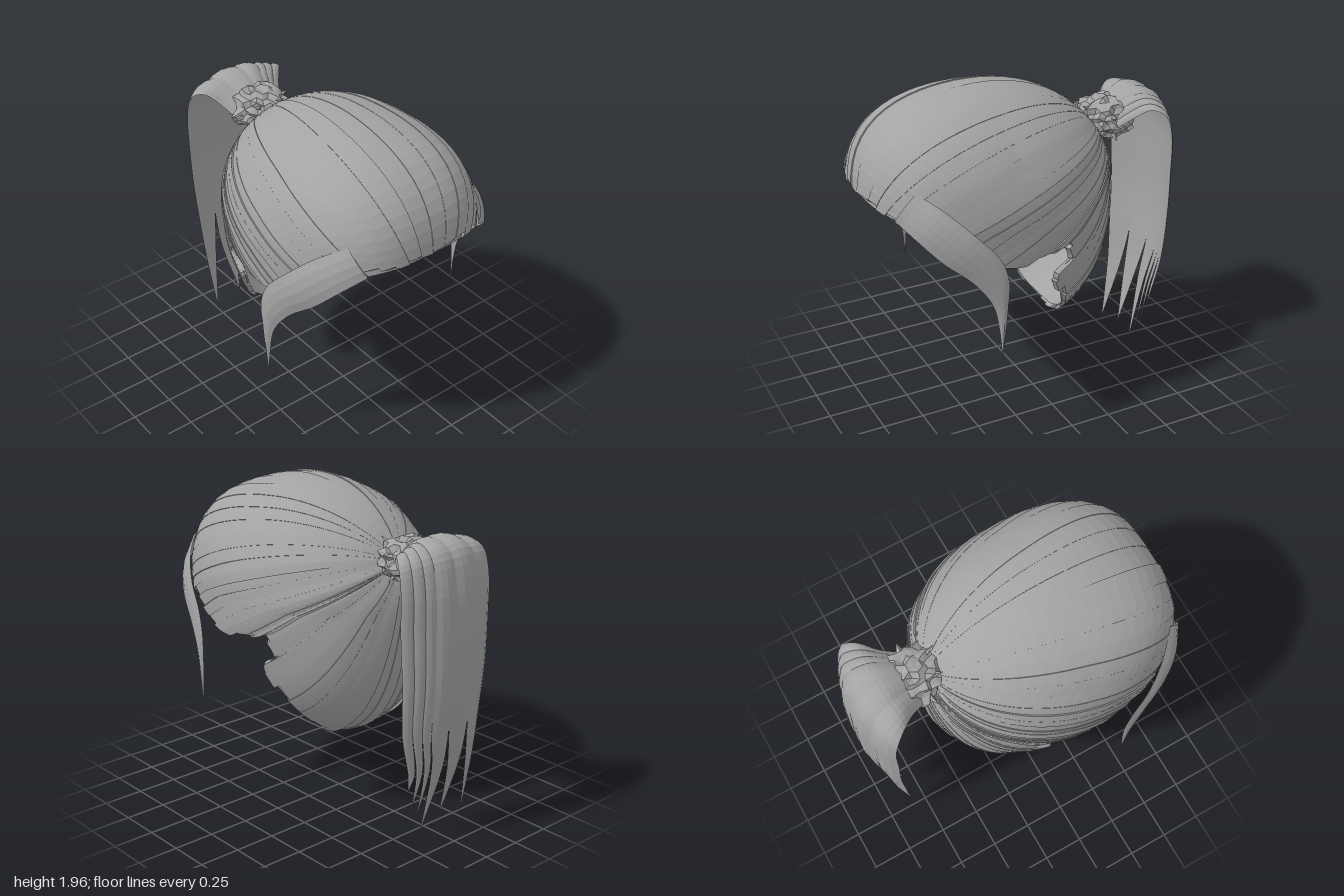
import * as THREE from 'three';

const hair = new THREE.MeshStandardMaterial({ color: 0xa3a3a3, flatShading: true, side: THREE.DoubleSide });
hair.name = 'hair grey';

const V = (p) => new THREE.Vector3(...p);
let seed = 7;
const rnd = () => (seed = (seed * 16807) % 2147483647) / 2147483647;

// grid of points (rows of equal length) to an indexed surface
function grid(rows) {
  const cols = rows[0].length, index = [];
  for (let i = 0; i < rows.length - 1; i++)
    for (let j = 0; j < cols - 1; j++) {
      const a = i * cols + j, b = a + cols;
      index.push(a, b, a + 1, b, b + 1, a + 1);
    }
  const g = new THREE.BufferGeometry().setFromPoints(rows.flat());
  g.setIndex(index);
  g.computeVertexNormals();
  return g;
}

function add(parent, name, geometry) {
  const mesh = new THREE.Mesh(geometry, hair);
  mesh.name = name;
  parent.add(mesh);
  return mesh;
}

// head: an egg with separate half axes up, down, front and back, squarer in front and low at the back
const C = V([0, 1.3, 0.25]);
const axes = (d) => V([0.655, d.y > 0 ? 0.66 : 0.95, d.z > 0 ? 0.75 : 0.84]);
const toDir = (p) => { const d = V(p).sub(C); return d.divide(axes(d)).normalize(); };
function onHead(dir, scale) {
  const n = 2 + 0.7 * Math.max(0, dir.z) + 0.7 * Math.max(0, -dir.y) * Math.max(0, -dir.z);
  const len = (Math.abs(dir.x) ** n + Math.abs(dir.y) ** n + Math.abs(dir.z) ** n) ** (1 / n);
  return dir.clone().multiply(axes(dir)).multiplyScalar(scale / len).add(C);
}
const root = toDir([0, 1.58, -0.52]);

function slerp(a, b, t) {
  const w = a.angleTo(b), s = Math.sin(w);
  return a.clone().multiplyScalar(Math.sin((1 - t) * w) / s).addScaledVector(b, Math.sin(t * w) / s).normalize();
}

// combed strands fanning out from the knot to a hairline; relief 0 gives a smooth lining
function fan(hairline, strands, steps, scale, relief) {
  const curve = new THREE.CatmullRomCurve3(hairline.map(V), false, 'centripetal');
  const columns = [], per = 4;
  for (let k = 0; k < strands; k++) {
    const jag = rnd() - 0.5, lift = (rnd() - 0.5) * 0.014, tilt = (rnd() - 0.5) * 0.016;
    for (let j = 0; j <= per; j++) {
      const end = toDir(curve.getPointAt((k + j / per) / strands).toArray());
      const side = Math.abs(end.x), reach = 1 + relief * jag * (0.012 + 0.05 * side);
      const col = [];
      for (let i = 0; i <= steps; i++) {
        const t = i / steps, fade = relief * Math.min(1, t * 2.5);
        col.push(onHead(slerp(root, end, t * reach), scale + fade * (lift + tilt * (j / per - 0.5))));
      }
      col.push(onHead(slerp(root, end, reach * (1 + 0.008 * relief)), scale - relief * 0.05 * side)); // turned-in lip
      columns.push(col);
    }
  }
  return grid(columns[0].map((_, i) => columns.map((c) => c[i])));
}
const mirrored = (half) => [...half.slice(1).reverse().map(([x, y, z]) => [-x, y, z]), ...half];

// lens-shaped lock of hair between two edge paths
function lock(edgeA, edgeB, bulge, steps = 26) {
  const a = new THREE.CatmullRomCurve3(edgeA.map(V)), b = new THREE.CatmullRomCurve3(edgeB.map(V));
  const rows = [], n = 4;
  for (let i = 0; i <= steps; i++) {
    const t = i / steps, pa = a.getPoint(t), pb = b.getPoint(t);
    const across = pb.clone().sub(pa), width = across.length();
    const out = a.getTangent(t).add(b.getTangent(t)).cross(across).normalize();
    const row = [];
    for (let j = 0; j <= 2 * n; j++) {
      const s = j <= n ? j / n : 2 - j / n;
      const h = (j <= n ? 1 : 0.15) * bulge * width * 4 * s * (1 - s);
      row.push(pa.clone().addScaledVector(across, s).addScaledVector(out, h));
    }
    rows.push(row);
  }
  return grid(rows);
}

export function createModel() {
  const model = new THREE.Group();
  model.name = 'ponytailHair';

  // crown and fringe over a smooth lining
  const sides = [[0.56, 1.24, 0.62], [0.6, 1.15, 0.42], [0.63, 1.10, 0.2], [0.64, 1.13, 0], [0.62, 1.16, -0.1]];
  const fringe = mirrored([[0, 1.44, 0.98], [0.2, 1.44, 0.97], [0.38, 1.41, 0.9], [0.5, 1.33, 0.78], ...sides]);
  const brow = mirrored([[0, 1.41, 0.98], [0.2, 1.405, 0.96], [0.4, 1.38, 0.88], [0.5, 1.32, 0.78], ...sides]);
  add(model, 'crown', fan(fringe, 38, 26, 1, 1));
  add(model, 'crownLining', fan(brow, 20, 26, 0.97, 0));

  // back of the head down to the nape
  const back = mirrored([[0, 0.42, -0.21], [0.16, 0.45, -0.19], [0.3, 0.56, -0.15], [0.45, 0.72, -0.07], [0.54, 0.84, -0.02],
    [0.58, 0.94, 0.01], [0.58, 1.02, -0.11], [0.62, 1.2, -0.02]]).reverse();
  add(model, 'nape', fan(back, 24, 20, 0.99, 1));
  add(model, 'napeLining', fan(back, 16, 20, 0.965, 0));

  // long curved locks framing the face
  const lower = [[0.40, 1.41, 0.93], [0.53, 1.32, 0.85], [0.61, 1.2, 0.74], [0.67, 1.07, 0.59], [0.70, 0.92, 0.49], [0.706, 0.75, 0.455], [0.71, 0.57, 0.44]];
  const upper = [[0.45, 1.57, 0.82], [0.58, 1.48, 0.70], [0.67, 1.35, 0.57], [0.712, 1.21, 0.45], [0.725, 1.08, 0.405], [0.72, 0.88, 0.41], [0.71, 0.57, 0.44]];
  const flip = (edge) => edge.map(([x, y, z]) => [-x, y, z]);
  add(model, 'leftLock', lock(lower, upper, 0.1));
  add(model, 'rightLock', lock(flip(upper), flip(lower), 0.1));

  // ponytail: centre path as height, depth, half width, edge droop, edge bow
  const path = [[1.64, -0.56, 0.16, 0.08, 0], [1.74, -0.68, 0.21, 0.1, 0], [1.775, -0.8, 0.28, 0.07, 0.03],
    [1.72, -0.92, 0.33, 0.05, 0.08], [1.55, -0.975, 0.345, 0, 0.1], [1.3, -0.99, 0.345, 0, 0.11],
    [1.0, -0.985, 0.33, 0, 0.1], [0.7, -0.95, 0.31, 0, 0.08], [0.44, -0.905, 0.275, 0, 0.05]];
  const edge = (u, tip) => [...path.map(([y, z, w, droop, bow], i) => {
    const last = i === path.length - 1, pinch = last ? 0.25 : 0;
    return [u * w * (1 - pinch) + tip[0] * pinch - (last ? 0.02 : 0), y - droop * u * u, z + bow * u * u];
  }), tip];
  const tail = new THREE.Group();
  tail.name = 'ponytail';
  model.add(tail);
  const tips = [[-1, -0.5, -0.255, 0.01], [-0.5, 0.06, -0.065, 0.07], [0.06, 0.46, 0.085, 0],
    [0.46, 0.64, 0.135, 0.1], [0.64, 0.82, 0.18, 0.19], [0.82, 1, 0.225, 0.32]];
  tips.forEach(([u0, u1, x, y]) => {
    const tip = [x, y, -0.8 - y * 0.12];
    add(tail, 'tailLock', lock(edge(u1, tip), edge(u0, tip), 0.12, 36));
  });

  // crumpled faceted knot where the tail is gathered
  const knot = new THREE.IcosahedronGeometry(1, 4);
  const pos = knot.attributes.position;
  for (let i = 0; i < pos.count; i++) {
    const p = new THREE.Vector3().fromBufferAttribute(pos, i);
    const r = 0.95 + 0.08 * Math.sin(p.x * 17 + p.y * 5) + 0.08 * Math.sin(p.y * 19 + p.z * 13);
    pos.setXYZ(i, p.x * r * 0.18, p.y * r * 0.135, p.z * r * 0.2);
  }
  knot.translate(0, 1.61, -0.61);
  knot.computeVertexNormals();
  add(model, 'knot', knot);

  // loose tufts poking out of the knot
  [[0.2, 1.66, -0.58], [-0.22, 1.6, -0.54], [0.17, 1.5, -0.6], [-0.14, 1.48, -0.52], [0.06, 1.72, -0.42], [-0.1, 1.7, -0.44]].forEach((tip) => {
    const base = V([tip[0] * 0.3, 1.61, -0.6]), dir = V(tip).sub(base), len = dir.length();
    const tuft = add(model, 'tuft', new THREE.ConeGeometry(0.055, len, 4));
    tuft.position.copy(base).addScaledVector(dir, 0.5);
    tuft.quaternion.setFromUnitVectors(V([0, 1, 0]), dir.normalize());
  });
  return model;
}
